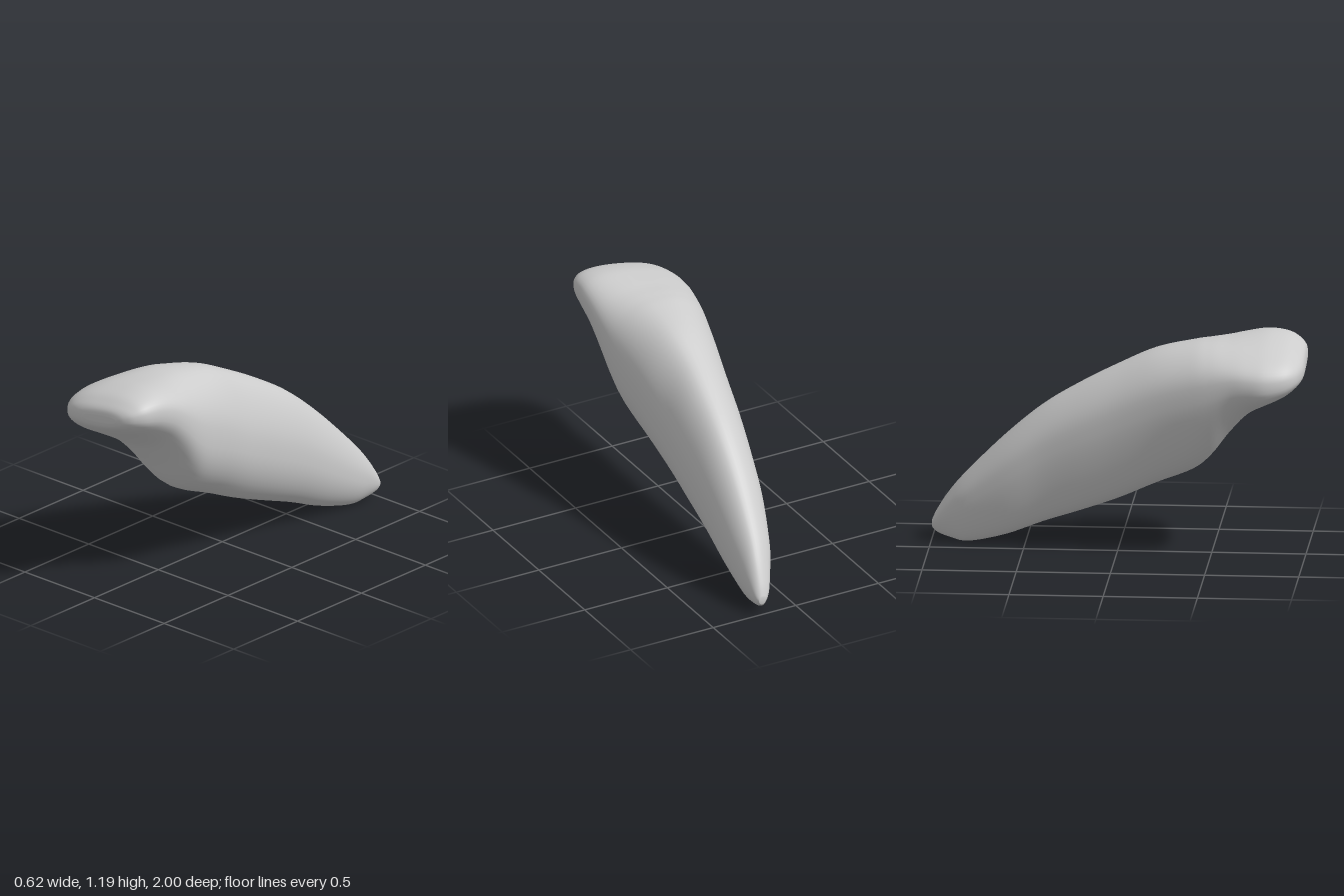
import * as THREE from 'three';

// Cross-sections from root tip to biting edge: z, xMin, xMax, yBottom, yTop
const SECTIONS = [
  [-1.0, 0.18, 0.22, 0.06, 0.1],
  [-0.97, 0.145, 0.235, 0.035, 0.165],
  [-0.9, 0.1, 0.243, 0.012, 0.275],
  [-0.8, 0.045, 0.247, 0.0, 0.395],
  [-0.6, -0.025, 0.25, 0.05, 0.6],
  [-0.4, -0.07, 0.25, 0.13, 0.772],
  [-0.2, -0.115, 0.25, 0.2, 0.9],
  [0.0, -0.155, 0.252, 0.275, 1.008],
  [0.2, -0.2, 0.272, 0.365, 1.1],
  [0.4, -0.25, 0.292, 0.45, 1.147],
  [0.5, -0.272, 0.302, 0.535, 1.158],
  [0.6, -0.29, 0.309, 0.67, 1.166],
  [0.7, -0.306, 0.31, 0.78, 1.178],
  [0.8, -0.31, 0.306, 0.845, 1.185],
  [0.9, -0.28, 0.288, 0.9, 1.168],
  [0.96, -0.225, 0.25, 0.945, 1.135],
  [0.99, -0.15, 0.2, 0.98, 1.105],
  [1.0, -0.08, 0.15, 1.015, 1.07],
];
const STEPS = 85;
const SIDES = 48;
const { lerp, smoothstep } = THREE.MathUtils;

// Smooth curve through one column of the section list
function profile(column) {
  return new THREE.SplineCurve(SECTIONS.map((s) => new THREE.Vector2(s[0], s[column])));
}

// Section outline in the unit square: a rounded top over a narrower tongue side
function outline(z) {
  const power = (v, e) => Math.sign(v) * Math.abs(v) ** e;
  const crown = smoothstep(z, 0, 0.6);
  const fade = 1 - smoothstep(z, 0.6, 0.92);
  const slant = 0.21 * smoothstep(z, 0.4, 0.85);
  const ring = [];
  for (let j = 0; j < SIDES; j++) {
    const angle = (j / SIDES) * Math.PI * 2;
    const e = Math.sin(angle) > 0 ? lerp(0.9, 0.82, crown) : 0.82;
    const u = power(Math.cos(angle), e);
    const v = power(Math.sin(angle), e);
    // Draw the flanks up so the underside tapers, mostly on the right
    const lift = (u < 0 ? 0.3 : 0.08) * fade * u * u * (1 - v);
    // Round off the root's upper left shoulder
    const drop = u > 0 ? 0.12 * (1 - crown) * u * u * (1 + v) : 0;
    ring.push([u, v + lift - drop, slant * u]);
  }
  return ring;
}

function loftTooth() {
  const [xMin, xMax, yMin, yMax] = [1, 2, 3, 4].map(profile);
  const positions = [];
  const indices = [];

  for (let i = 0; i <= STEPS; i++) {
    const t = i / STEPS;
    const left = xMin.getPoint(t);
    const z = left.x;
    const x0 = left.y, x1 = xMax.getPoint(t).y;
    const y0 = yMin.getPoint(t).y, y1 = yMax.getPoint(t).y;
    const halfW = (x1 - x0) / 2, halfH = (y1 - y0) / 2;
    // The biting edge rises toward the left side
    const ring = outline(z).map(([u, v, rise]) => [u, v * halfH + rise * halfW]);
    // Fit the outline to the section's height
    const heights = ring.map((p) => p[1]);
    const low = Math.min(...heights), high = Math.max(...heights);
    for (const [u, h] of ring) {
      positions.push((x0 + x1) / 2 + u * halfW, lerp(y0, y1, (h - low) / (high - low)), z);
    }
  }

  for (let i = 0; i < STEPS; i++) {
    for (let j = 0; j < SIDES; j++) {
      const k = (j + 1) % SIDES;
      const a = i * SIDES + j, b = i * SIDES + k;
      indices.push(a, b, a + SIDES, b, b + SIDES, a + SIDES);
    }
  }

  // Close both ends with fans
  for (const row of [0, STEPS]) {
    const s = SECTIONS[row === 0 ? 0 : SECTIONS.length - 1];
    const centre = positions.length / 3;
    positions.push((s[1] + s[2]) / 2, (s[3] + s[4]) / 2, s[0]);
    for (let j = 0; j < SIDES; j++) {
      const a = row * SIDES + j, b = row * SIDES + ((j + 1) % SIDES);
      if (row === 0) indices.push(centre, b, a);
      else indices.push(centre, a, b);
    }
  }

  const geometry = new THREE.BufferGeometry();
  geometry.setAttribute('position', new THREE.Float32BufferAttribute(positions, 3));
  geometry.setIndex(indices);
  geometry.computeVertexNormals();
  return geometry;
}

export function createModel() {
  const group = new THREE.Group();
  group.name = 'incisor';
  const enamel = new THREE.MeshStandardMaterial({ color: 0xcccccc });
  enamel.name = 'pale grey';
  const tooth = new THREE.Mesh(loftTooth(), enamel);
  tooth.name = 'tooth';
  group.add(tooth);
  return group;
}
